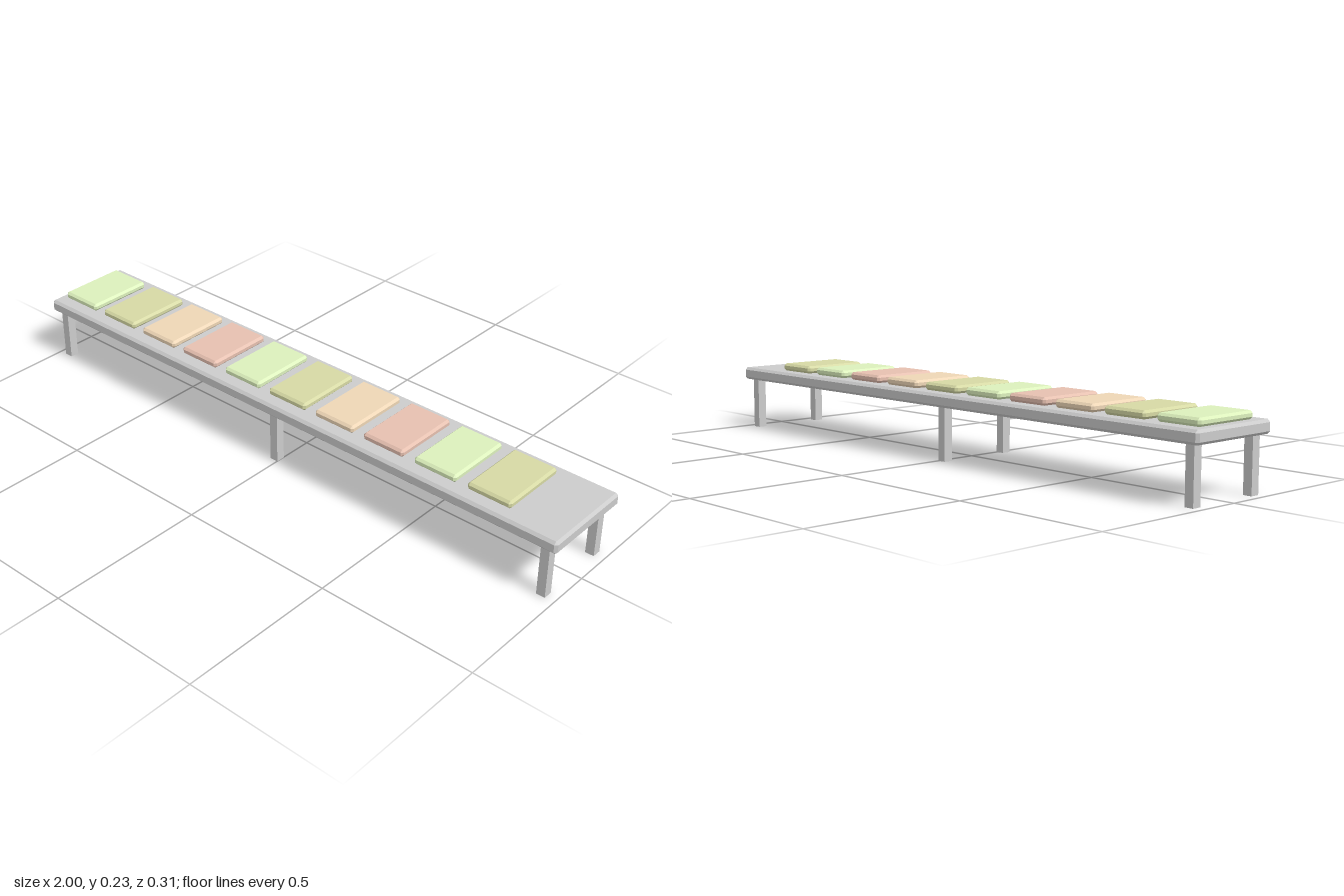
import * as THREE from 'three';
import { ConvexGeometry } from 'three/addons/geometries/ConvexGeometry.js';

// Box with every edge cut by a flat chamfer c
function chamferBox(w, h, d, c) {
  const x = w / 2, y = h / 2, z = d / 2;
  const points = [];
  for (const sx of [-1, 1]) for (const sy of [-1, 1]) for (const sz of [-1, 1]) {
    points.push(
      new THREE.Vector3(sx * x, sy * (y - c), sz * (z - c)),
      new THREE.Vector3(sx * (x - c), sy * y, sz * (z - c)),
      new THREE.Vector3(sx * (x - c), sy * (y - c), sz * z)
    );
  }
  return new ConvexGeometry(points);
}

export function createModel() {
  const model = new THREE.Group();
  model.name = 'longTable';
  const material = (color) => new THREE.MeshStandardMaterial({ color, flatShading: true });
  const grey = material(0xcccccc);

  function add(name, geometry, mat, x, y, z) {
    const mesh = new THREE.Mesh(geometry, mat);
    mesh.name = name;
    mesh.position.set(x, y, z);
    model.add(mesh);
  }

  // Table top
  add('tableTop', chamferBox(2, 0.04, 0.306, 0.008), grey, 0, 0.185, 0);

  // Three pairs of legs
  const legGeometry = new THREE.BoxGeometry(0.028, 0.168, 0.029);
  for (const x of [-0.961, -0.013, 0.957]) {
    add('frontLeg', legGeometry, grey, x, 0.084, 0.121);
    add('backLeg', legGeometry, grey, x, 0.084, -0.12);
  }

  // Row of pads in four repeating colours
  const padGeometry = chamferBox(0.145, 0.024, 0.224, 0.007);
  const padMaterials = [0xdcf0bc, 0xd6d9a4, 0xeed6b6, 0xe6c0b0].map(material);
  for (let i = 0; i < 10; i++) {
    add('pad' + (i + 1), padGeometry, padMaterials[i % 4], -0.9 + i * 0.1836, 0.217, 0);
  }
  return model;
}
